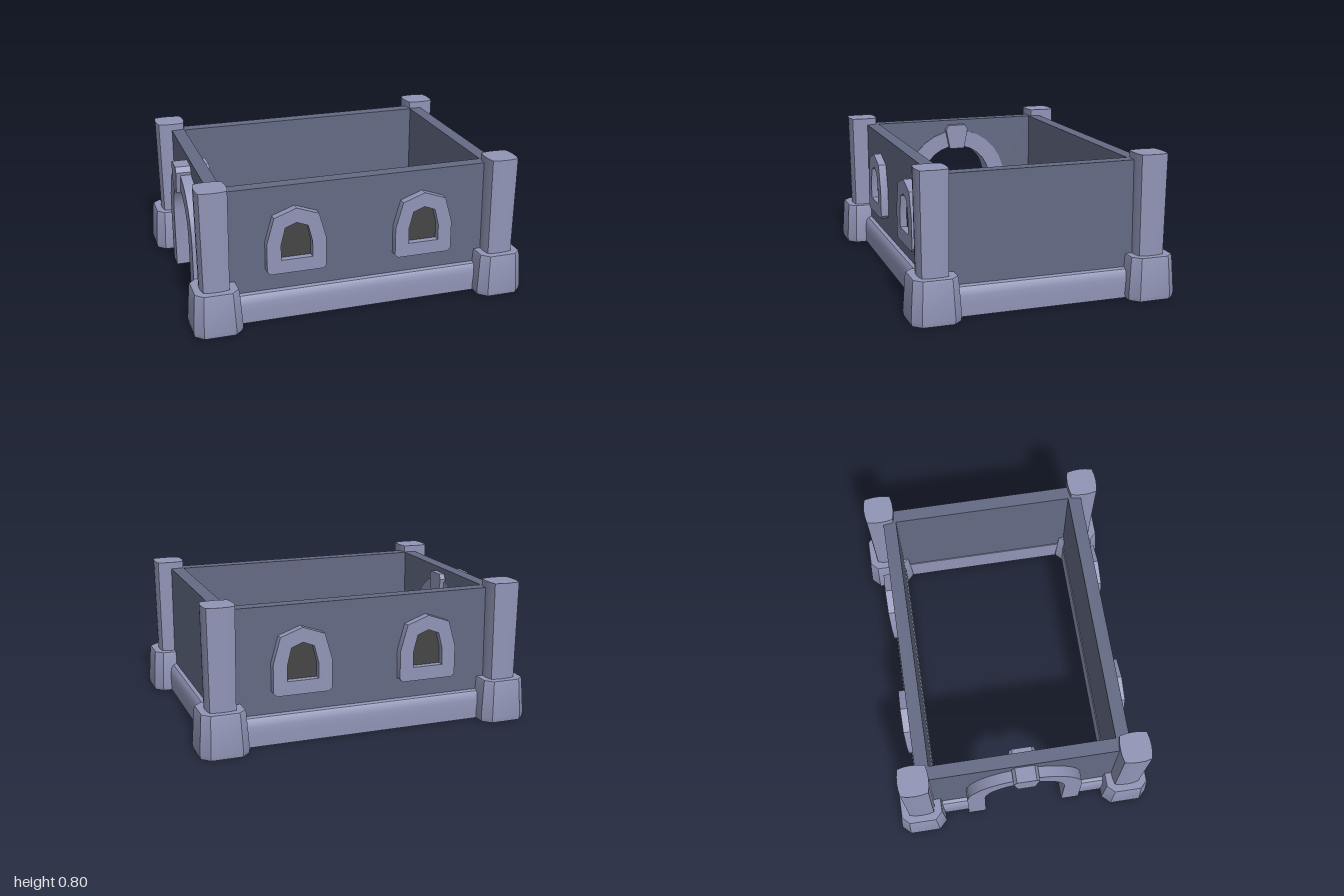
import * as THREE from 'three';
import { toCreasedNormals } from 'three/addons/utils/BufferGeometryUtils.js';

const HX = 0.82, HZ = 0.592;   // outer half size of the walls
const T = 0.075;               // wall thickness

function mat(name, color) {
  const m = new THREE.MeshStandardMaterial({ color });
  m.name = name;
  return m;
}

function mesh(name, geo, material, x = 0, y = 0, z = 0) {
  const m = new THREE.Mesh(geo, material);
  m.name = name;
  m.position.set(x, y, z);
  return m;
}

const shapeOf = (pts) => new THREE.Shape(pts.map(([x, y]) => new THREE.Vector2(x, y)));
// right half of a symmetric outline, bottom to top, completed by mirroring
const mirrored = (half) => [...half, ...half.filter((p) => p[0] > 0).reverse().map(([x, y]) => [-x, y])];

function extrude(shape, depth, curveSegments = 12) {
  const g = new THREE.ExtrudeGeometry(shape, { depth, bevelEnabled: false, curveSegments });
  return toCreasedNormals(g, 0.5);
}

// Stack of scaled outlines (counter-clockwise in x, -z) with caps
function loft(outline, levels) {
  const n = outline.length, pos = [], idx = [];
  for (const [y, s] of levels) for (const [x, z] of outline) pos.push(x * s, y, -z * s);
  for (let l = 0; l < levels.length - 1; l++) {
    for (let i = 0; i < n; i++) {
      const a = l * n + i, b = l * n + (i + 1) % n;
      idx.push(a, b, b + n, a, b + n, a + n);
    }
  }
  const top = (levels.length - 1) * n;
  for (let i = 1; i < n - 1; i++) idx.push(0, i + 1, i, top, top + i, top + i + 1);
  const g = new THREE.BufferGeometry();
  g.setAttribute('position', new THREE.Float32BufferAttribute(pos, 3));
  g.setIndex(idx);
  return toCreasedNormals(g, 0.5);
}

// Archway outline standing on the ground: legs up to the spring line, then a half circle
function archPoints(r, spring, steps = 14) {
  const pts = [[r, 0]];
  for (let i = 0; i <= steps; i++) {
    const a = Math.PI * i / steps;
    pts.push([r * Math.cos(a), spring + r * Math.sin(a)]);
  }
  pts.push([-r, 0]);
  return pts;
}

export function createModel() {
  const stone = mat('pale stone', 0x9095b6);
  const wallMat = mat('dark wall', 0x636a83);
  const glass = mat('window dark', 0x454545);

  const root = new THREE.Group();
  root.name = 'walledRoom';
  const body = new THREE.Group();
  body.name = 'body';
  body.rotation.y = -0.062;   // the plan is turned slightly
  root.add(body);

  // Each side is built facing +z, then turned into place
  function side(name, angle) {
    const g = new THREE.Group();
    g.name = name;
    g.rotation.y = angle;
    body.add(g);
    return g;
  }

  // Skirting with a rounded outer top edge, d = outer wall distance
  function trim(d, x0, x1) {
    const profile = shapeOf([
      [T + 0.005, 0], [T + 0.005, 0.16], [0, 0.165], [-0.02, 0.158],
      [-0.033, 0.14], [-0.039, 0.11], [-0.04, 0.07], [-0.038, 0],
    ].reverse());
    const g = extrude(profile, x1 - x0);
    g.rotateY(Math.PI / 2);
    return mesh('skirting', g, stone, x0, 0, d);
  }

  // Window frames and panes
  const frameShape = shapeOf(mirrored([
    [0.148, 0.272], [0.167, 0.29], [0.167, 0.45], [0.125, 0.597], [0, 0.642],
  ]));
  const openingPts = mirrored([[0.088, 0.35], [0.088, 0.44], [0.064, 0.535], [0, 0.56]]);
  frameShape.holes.push(new THREE.Path(openingPts.map(([x, y]) => new THREE.Vector2(x, y))));
  const frameGeo = extrude(frameShape, 0.055);
  const paneGeo = extrude(shapeOf(openingPts), 0.006);

  // Long walls with two windows each
  for (const [name, angle] of [['frontSide', 0], ['backSide', Math.PI]]) {
    const g = side(name, angle);
    g.add(mesh('wall', new THREE.BoxGeometry(2 * HX, 0.68, T), wallMat, 0, 0.42, HZ - T / 2));
    g.add(trim(HZ, -HX, HX));
    for (const x of [-0.367, 0.367]) {
      g.add(mesh('windowFrame', frameGeo, stone, x, 0, HZ - 0.01));
      g.add(mesh('windowPane', paneGeo, glass, x, 0, HZ + 0.001));
    }
  }

  // Plain short wall
  const inner = HZ - T;
  const right = side('plainSide', Math.PI / 2);
  right.add(mesh('wall', new THREE.BoxGeometry(2 * inner, 0.68, T), wallMat, 0, 0.42, HX - T / 2));
  right.add(trim(HX, -HZ, HZ));

  // Short wall with the archway
  const left = side('gateSide', -Math.PI / 2);
  const spring = 0.355, rOut = 0.335, rIn = 0.232;
  const cut = archPoints(rOut - 0.03, spring).map(([x, y]) => [x, Math.max(y, 0.08)]);
  const gateWall = shapeOf([[inner, 0.08], [inner, 0.76], [-inner, 0.76], [-inner, 0.08], ...cut.reverse()]);
  left.add(mesh('wall', extrude(gateWall, T), wallMat, 0, 0, HX - T));
  left.add(trim(HX, -HZ, -rOut + 0.02), trim(HX, rOut - 0.02, HZ));

  const archShape = shapeOf([...archPoints(rOut, spring), ...archPoints(rIn, spring).reverse()]);
  left.add(mesh('arch', extrude(archShape, 0.142), stone, 0, 0, 0.739));
  const keyShape = shapeOf(mirrored([[0.048, 0.575], [0.073, 0.70], [0.055, 0.73]]));
  left.add(mesh('keystone', extrude(keyShape, 0.192), stone, 0, 0, 0.713));

  // Corner towers: chamfered plinth and a bulging square column
  const plinthOutline = [], columnOutline = [];
  for (let k = 0; k < 4; k++) {
    const c = Math.round(Math.cos(k * Math.PI / 2)), s = Math.round(Math.sin(k * Math.PI / 2));
    const turn = ([x, y]) => [x * c - y * s, x * s + y * c];
    plinthOutline.push(...[[0.135, -0.088], [0.135, 0.088]].map(turn));
    columnOutline.push(...[[0.075, -0.075], [0.083, -0.035], [0.085, 0], [0.083, 0.035]].map(turn));
  }
  const plinthGeo = loft(plinthOutline, [[0, 0.97], [0.025, 1], [0.225, 0.9], [0.24, 0.87]]);
  const columnGeo = loft(columnOutline, [[0.22, 0.94], [0.8, 1.01]]);
  for (const sx of [-1, 1]) {
    for (const sz of [-1, 1]) {
      const tower = new THREE.Group();
      tower.name = 'cornerTower';
      tower.position.set(sx * 0.822, 0, sz * 0.609);
      tower.add(mesh('plinth', plinthGeo, stone), mesh('column', columnGeo, stone));
      body.add(tower);
    }
  }
  return root;
}
